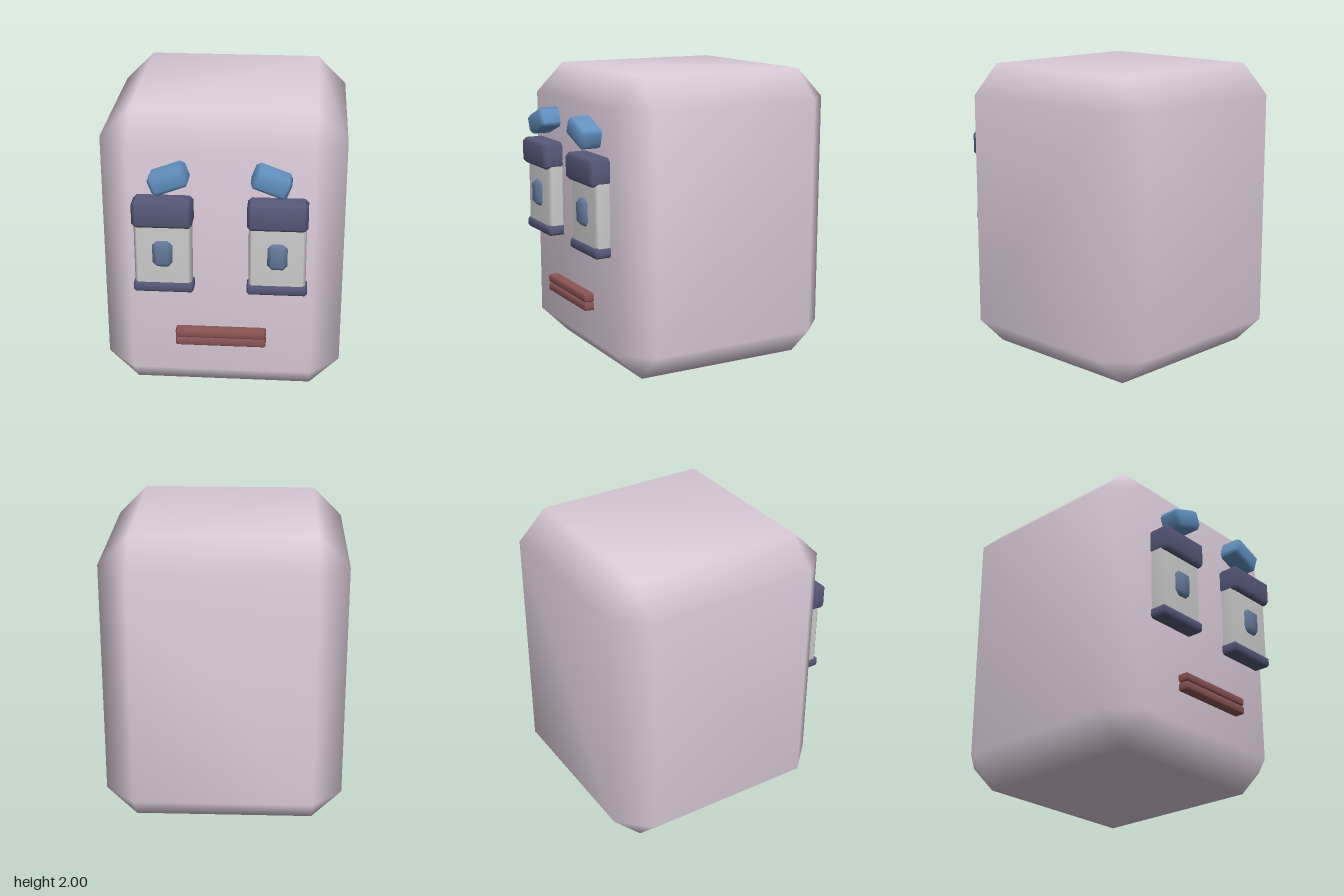
import * as THREE from 'three';
import { ConvexGeometry } from 'three/addons/geometries/ConvexGeometry.js';
import { mergeVertices } from 'three/addons/utils/BufferGeometryUtils.js';

// Box with chamfered edges and corners, smooth shaded
function chamferBox(w, h, d, c) {
  const points = [];
  for (const x of [-1, 1]) for (const y of [-1, 1]) for (const z of [-1, 1]) {
    for (const full of [0, 1, 2]) {
      const half = [w / 2, h / 2, d / 2].map((s, i) => (i === full ? s : s - c));
      points.push(new THREE.Vector3(x * half[0], y * half[1], z * half[2]));
    }
  }
  let geometry = new ConvexGeometry(points);
  geometry.deleteAttribute('normal');
  geometry = mergeVertices(geometry, 1e-4);
  geometry.computeVertexNormals();
  return geometry;
}

const paint = (color) => new THREE.MeshStandardMaterial({ color });

export function createModel() {
  const model = new THREE.Group();
  model.name = 'blockHead';
  const skin = paint(0xdccddb);
  const lidColor = paint(0x57597a);
  const browColor = paint(0x6292c2);
  const pupilColor = paint(0x647a9c);
  const lipColor = paint(0x8c5454);
  const eyeColor = paint(0xcccccc);

  // Adds a chamfered block given its centre, size and frontmost z
  function block(name, material, x, y, w, h, front, d, c, parent = model) {
    const mesh = new THREE.Mesh(chamferBox(w, h, d, c), material);
    mesh.name = name;
    mesh.position.set(x, y, front - d / 2);
    parent.add(mesh);
    return mesh;
  }

  block('head', skin, 0, 1, 1.6, 2, 0.73, 1.6, 0.2);

  // Eyes and brows, mirrored
  for (const [side, s] of [['left', 1], ['right', -1]]) {
    const eye = new THREE.Group();
    eye.name = side + 'Eye';
    model.add(eye);
    block(side + 'Eyeball', eyeColor, s * 0.369, 1.13, 0.37, 0.54, 0.83, 0.2, 0.02, eye);
    block(side + 'Pupil', pupilColor, s * 0.37, 1.12, 0.13, 0.18, 0.865, 0.1, 0.03, eye);
    block(side + 'UpperLid', lidColor, s * 0.368, 1.4, 0.388, 0.18, 0.873, 0.24, 0.025, eye);
    block(side + 'LowerLid', lidColor, s * 0.368, 0.877, 0.392, 0.07, 0.843, 0.2, 0.015, eye);
    const brow = block(side + 'Brow', browColor, s * 0.325, 1.63, 0.245, 0.137, 0.873, 0.24, 0.025);
    brow.rotation.z = -s * 0.36;
  }

  // Mouth
  block('upperLip', lipColor, 0, 0.51, 0.6, 0.055, 0.8, 0.14, 0.01);
  block('lowerLip', lipColor, 0, 0.45, 0.6, 0.055, 0.8, 0.14, 0.01);
  block('mouthGap', lipColor, 0, 0.48, 0.56, 0.02, 0.785, 0.1, 0.004);

  return model;
}
